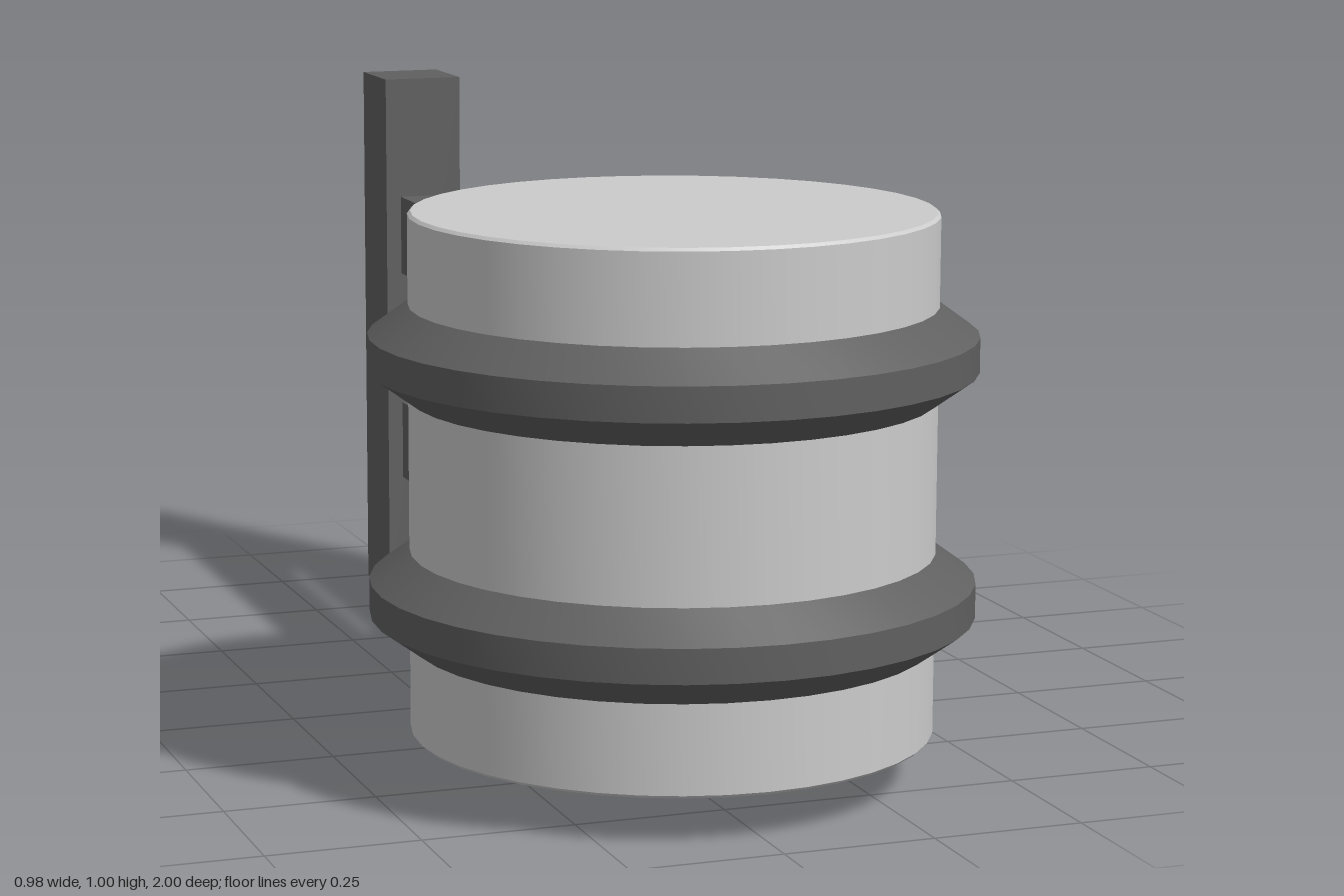
import * as THREE from 'three';
import { toCreasedNormals } from 'three/addons/utils/BufferGeometryUtils.js';

const SIDES = 40;
const DRUM_Z = 0.51;

export function createModel() {
  const model = new THREE.Group();
  const light = new THREE.MeshStandardMaterial({ color: 0xcccccc });
  const dark = new THREE.MeshStandardMaterial({ color: 0x606060 });

  const add = (name, geometry, material, x, y, z) => {
    const mesh = new THREE.Mesh(geometry, material);
    mesh.name = name;
    mesh.position.set(x, y, z);
    model.add(mesh);
  };

  // Turned solid with sharp profile edges, outline running bottom to top
  const turned = (outline) => toCreasedNormals(
    new THREE.LatheGeometry(outline.map(([r, y]) => new THREE.Vector2(r, y)), SIDES), 0.5);

  // Drum with a fine bevel on both rims
  add('drum', turned([
    [0, -0.425], [0.42, -0.425], [0.425, -0.42],
    [0.425, 0.42], [0.42, 0.425], [0, 0.425],
  ]), light, 0, 0.5, DRUM_Z);

  // Two clamping bands, each carried by an arm
  const band = turned([
    [0.42, -0.075], [0.425, -0.075], [0.49, -0.028],
    [0.49, 0.028], [0.425, 0.075], [0.42, 0.075],
  ]);
  const arm = new THREE.BoxGeometry(0.09, 0.148, 0.95);
  [['lower', 0.3], ['upper', 0.7]].forEach(([level, y]) => {
    add(level + 'Band', band, dark, 0, y, DRUM_Z);
    add(level + 'Arm', arm, dark, 0, y, -0.385);
  });

  // Upright mounting post at the back
  add('mountingPost', new THREE.BoxGeometry(0.147, 1, 0.15), dark, 0, 0.5, -0.925);

  return model;
}
